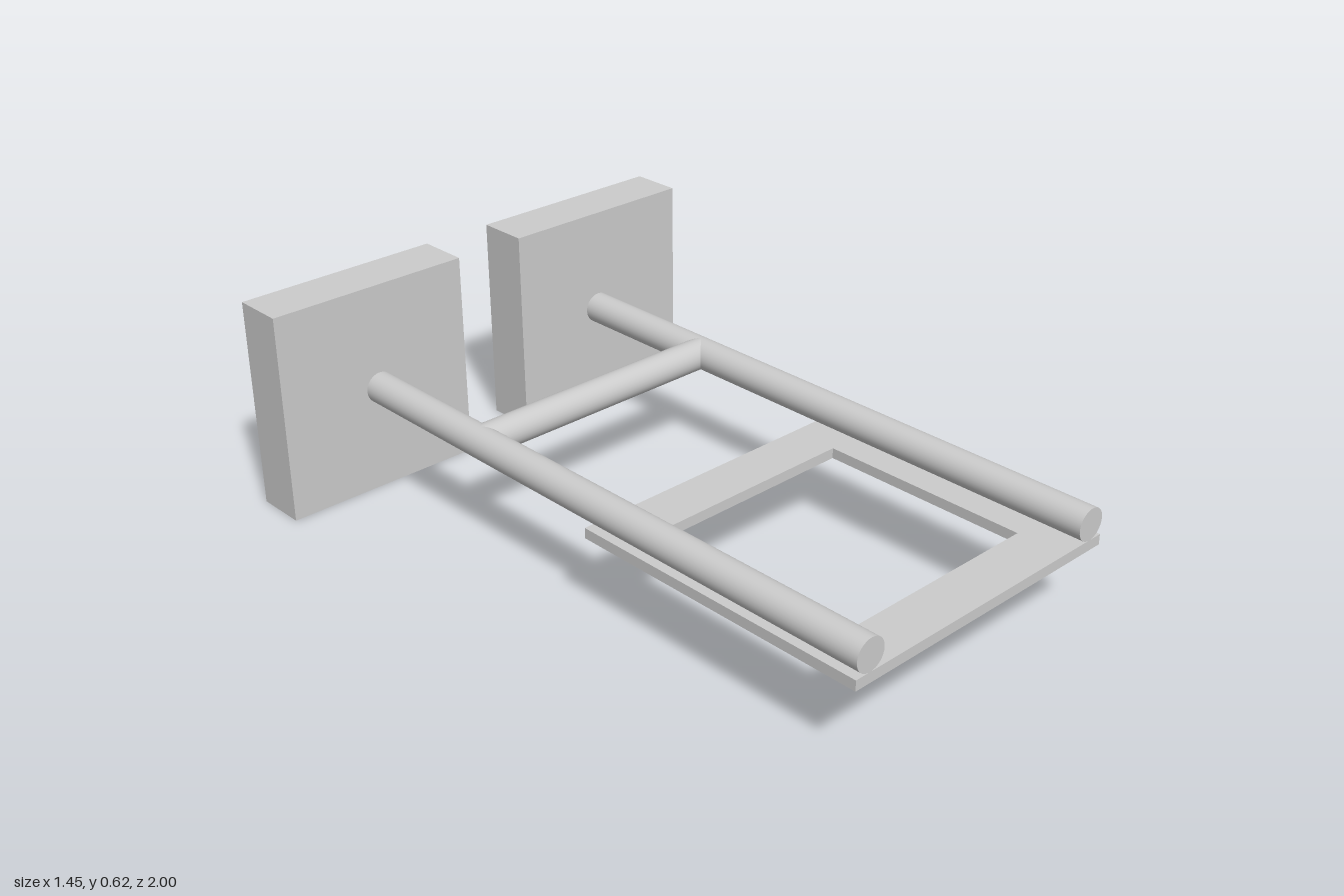
import * as THREE from 'three';

const material = new THREE.MeshStandardMaterial({ color: 0xcccccc, side: THREE.DoubleSide });
const RADIUS = 0.046, AXIS_Y = 0.311, RAIL_X = 0.409;

function add(parent, name, geometry, x, y, z) {
  const mesh = new THREE.Mesh(geometry, material);
  mesh.name = name;
  mesh.position.set(x, y, z);
  parent.add(mesh);
  return mesh;
}

// Shallow tray, open towards the back (-z)
function trayGeometry(width, height, depth) {
  const geometry = new THREE.BoxGeometry(width, height, depth);
  geometry.setIndex(Array.from(geometry.index.array).slice(0, 30));
  geometry.clearGroups();
  return geometry;
}

export function createModel() {
  const model = new THREE.Group();
  model.name = 'tubeFrame';

  for (const side of [1, -1]) {
    const label = side > 0 ? 'left' : 'right';

    // Long rail: open at the back, capped at the front
    const rail = new THREE.CylinderGeometry(RADIUS, RADIUS, 2, 32, 1, true).rotateX(Math.PI / 2);
    add(model, label + 'Rail', rail, side * RAIL_X, AXIS_Y, 0);
    add(model, label + 'RailCap', new THREE.CircleGeometry(RADIUS, 32), side * RAIL_X, AXIS_Y, 1);

    // Square end tray around the back of the rail
    add(model, label + 'EndTray', trayGeometry(0.618, 0.62, 0.153), side * 0.418, 0.31, -0.9235);
  }

  // Cross bar joining the rails
  const bar = new THREE.CylinderGeometry(RADIUS, RADIUS, RAIL_X * 2, 32, 1, true).rotateZ(Math.PI / 2);
  add(model, 'crossBar', bar, 0, AXIS_Y, -0.387);

  // Flat plate with a square opening under the front of the rails
  const outline = new THREE.Shape([[-0.455, -1], [0.455, -1], [0.455, -0.09], [-0.455, -0.09]]
    .map(([x, y]) => new THREE.Vector2(x, y)));
  outline.holes.push(new THREE.Path([[-0.31, -0.855], [-0.31, -0.232], [0.31, -0.232], [0.31, -0.855]]
    .map(([x, y]) => new THREE.Vector2(x, y))));
  const plate = new THREE.ExtrudeGeometry(outline, { depth: 0.03, bevelEnabled: false }).rotateX(-Math.PI / 2);
  add(model, 'framePlate', plate, 0, 0.235, 0);

  return model;
}
